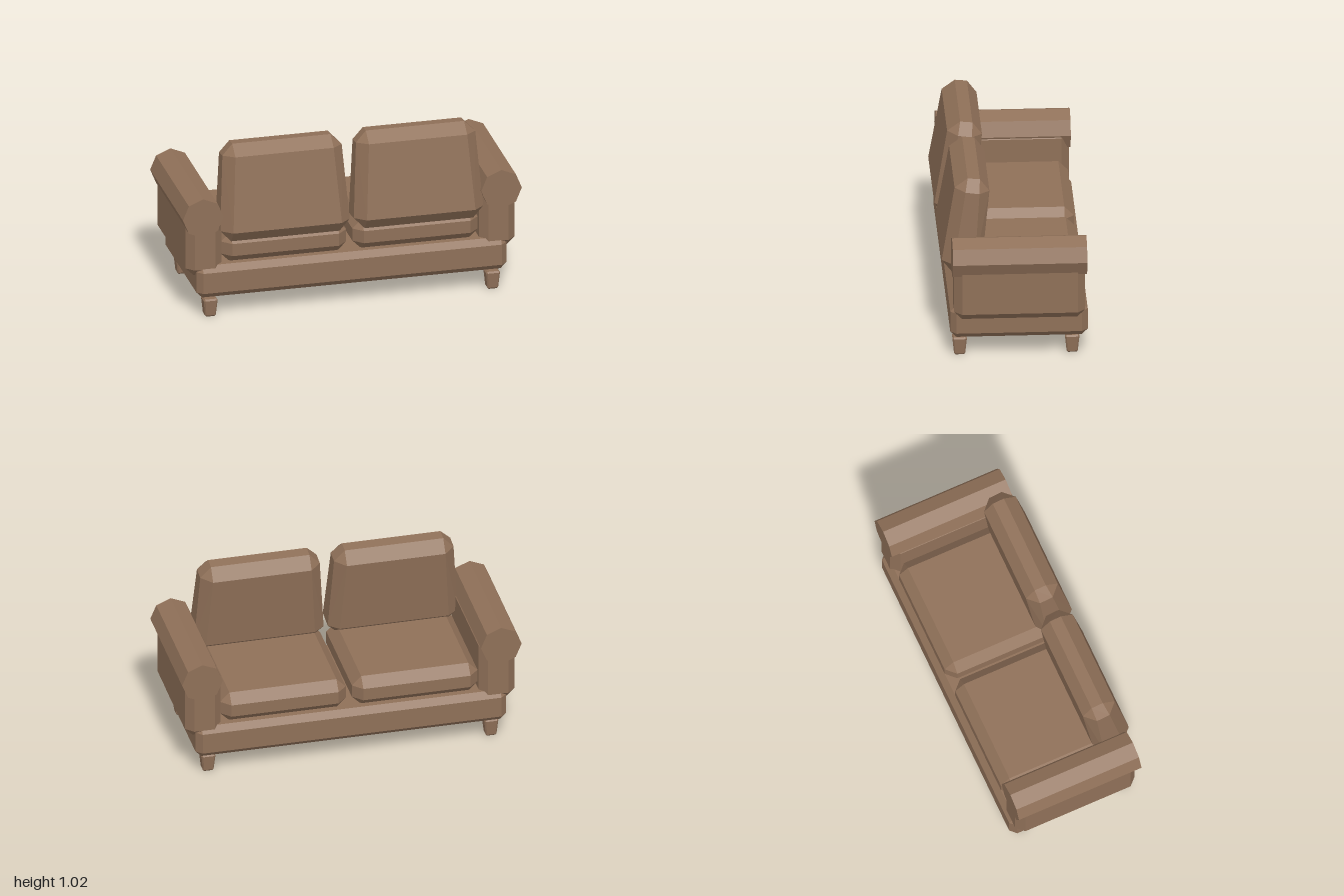
import * as THREE from 'three';
import { ConvexGeometry } from 'three/addons/geometries/ConvexGeometry.js';

// Box with flat chamfered edges; shape(v) can move its points before the hull is made
function chamferBox([x0, x1], [y0, y1], [z0, z1], c, shape = () => {}) {
  const mid = new THREE.Vector3(x0 + x1, y0 + y1, z0 + z1).multiplyScalar(0.5);
  const half = new THREE.Vector3(x1 - x0, y1 - y0, z1 - z0).multiplyScalar(0.5);
  const pts = [];
  for (const sx of [-1, 1]) for (const sy of [-1, 1]) for (const sz of [-1, 1])
    for (let axis = 0; axis < 3; axis++) {
      const inset = [c, c, c];
      inset[axis] = 0;
      const v = new THREE.Vector3(
        mid.x + sx * (half.x - inset[0]),
        mid.y + sy * (half.y - inset[1]),
        mid.z + sz * (half.z - inset[2]));
      shape(v);
      pts.push(v);
    }
  return new ConvexGeometry(pts);
}

// Leaning, tapered back cushion: each corner of its side profile has a side, cap and face point
function backCushionGeometry() {
  const half = [ // [half width, y, z]
    [0.352, 0.963, 0.28], [0.29, 1.025, 0.265], [0.29, 0.97, 0.34],
    [0.352, 0.952, 0.20], [0.29, 1.018, 0.195], [0.29, 0.945, 0.14],
    [0.382, 0.525, 0.35], [0.32, 0.46, 0.36], [0.32, 0.53, 0.415],
    [0.382, 0.51, 0.23], [0.32, 0.45, 0.245], [0.32, 0.505, 0.185],
  ];
  return new ConvexGeometry(half.flatMap(([x, y, z]) =>
    [new THREE.Vector3(x, y, z), new THREE.Vector3(-x, y, z)]));
}

export function createModel() {
  const sofa = new THREE.Group();
  sofa.name = 'sofa';
  const brown = new THREE.MeshStandardMaterial({ color: 0x8f7058 });
  brown.name = 'brown';

  const add = (name, geometry, x = 0, y = 0, z = 0) => {
    const mesh = new THREE.Mesh(geometry, brown);
    mesh.name = name;
    mesh.position.set(x, y, z);
    sofa.add(mesh);
  };

  // Base frame
  add('base', chamferBox([-0.915, 0.915], [0.12, 0.315], [-0.413, 0.375], 0.035));

  // Shared geometries
  const armPanel = chamferBox([-0.105, 0.105], [0.252, 0.65], [-0.396, 0.355], 0.045);
  const armRoll = new THREE.CylinderGeometry(0.12, 0.12, 0.77, 8).toNonIndexed();
  armRoll.rotateX(Math.PI / 2);
  armRoll.computeVertexNormals(); // flat facets
  const seat = chamferBox([-0.37, 0.37], [0.305, 0.49], [-0.385, 0.345], 0.055);
  const back = backCushionGeometry();
  const leg = chamferBox([-0.042, 0.042], [0, 0.11], [-0.042, 0.042], 0.009, (v) => {
    const k = 0.74 + 0.26 * v.y / 0.11; // narrower at the foot
    v.x *= k;
    v.z *= k;
  });

  // Mirrored parts
  for (const [side, s] of [['left', 1], ['right', -1]]) {
    add(side + 'ArmPanel', armPanel, s * 0.865);
    add(side + 'ArmRoll', armRoll, s * 0.88, 0.62, -0.02);
    add(side + 'SeatCushion', seat, s * 0.388);
    add(side + 'BackCushion', back, s * 0.394);
    add(side + 'LegA', leg, s * 0.833, 0, 0.32);
    add(side + 'LegB', leg, s * 0.833, 0, -0.325);
  }
  return sofa;
}
